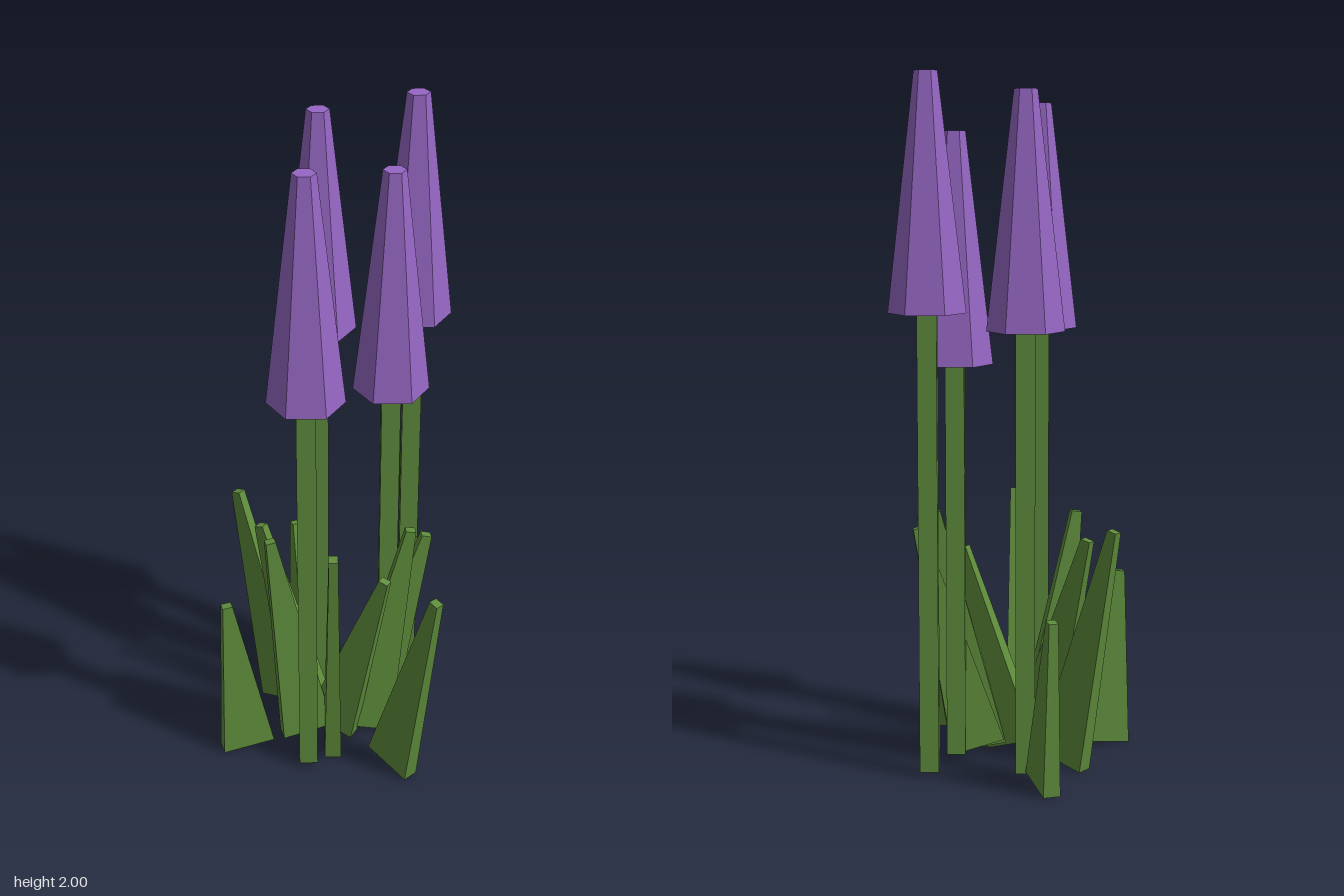
import * as THREE from 'three';

const purple = new THREE.MeshStandardMaterial({ name: 'petal purple', color: 0x9667c4 });
const green = new THREE.MeshStandardMaterial({ name: 'leaf green', color: 0x5f8d3c });

const BASE_W = 0.16, BASE_T = 0.05, TIP_W = 0.03, TIP_T = 0.027;

// Blade: a box standing on y = 0 that narrows to a small square tip
function bladeGeometry(length) {
  const geo = new THREE.BoxGeometry(1, length, 1).translate(0, length / 2, 0);
  const p = geo.attributes.position;
  for (let i = 0; i < p.count; i++) {
    const atTip = p.getY(i) > length / 2;
    p.setX(i, p.getX(i) * (atTip ? TIP_W : BASE_W));
    p.setZ(i, p.getZ(i) * (atTip ? TIP_T : BASE_T));
  }
  geo.computeVertexNormals();
  return geo;
}

// Leaf leaning from its base centre (bx, bz) to its tip (tx, ty, tz)
function makeLeaf(bx, bz, tx, ty, tz) {
  const dx = tx - bx, dz = tz - bz, reach = Math.hypot(dx, dz);
  const tilt = Math.atan2(reach, ty);
  const by = Math.sin(tilt) * BASE_W / 2;
  const leaf = new THREE.Mesh(bladeGeometry(Math.hypot(reach, ty - by)), green);
  leaf.name = 'leaf';
  leaf.position.set(bx, by, bz);
  leaf.rotation.set(0, Math.atan2(-dz, dx), -tilt, 'YXZ');
  return leaf;
}

// Flower: square stem below a six-sided tapered head
function makeFlower(x, z, top) {
  const flower = new THREE.Group();
  flower.name = 'flower';
  const headHeight = 0.665, foot = 0.015, headBase = top - headHeight;

  const stemHeight = headBase + 0.05 - foot;
  const stem = new THREE.Mesh(new THREE.BoxGeometry(0.055, stemHeight, 0.055), green);
  stem.name = 'stem';
  stem.position.y = foot + stemHeight / 2;

  const headGeo = new THREE.CylinderGeometry(0.033, 0.11, headHeight, 6).rotateY(Math.PI / 6).toNonIndexed();
  headGeo.computeVertexNormals();
  const head = new THREE.Mesh(headGeo, purple);
  head.name = 'flowerHead';
  head.position.y = headBase + headHeight / 2;

  flower.add(stem, head);
  flower.position.set(x, 0, z);
  return flower;
}

export function createModel() {
  const model = new THREE.Group();
  model.name = 'flowerClump';

  // x, z, top height
  const flowers = [
    [-0.075, 0.22, 1.925],
    [-0.035, -0.185, 1.95],
    [0.24, -0.175, 2.0],
    [0.17, -0.015, 1.84],
  ];
  for (const f of flowers) model.add(makeFlower(...f));

  // base x, base z, tip x, tip y, tip z
  const leaves = [
    [-0.085, -0.288, -0.11, 0.5, -0.362],
    [-0.145, -0.09, -0.288, 0.72, -0.2],
    [-0.06, 0.02, -0.218, 0.67, -0.083],
    [0.0, 0.055, 0.16, 0.605, 0.138],
    [-0.08, 0.068, -0.185, 0.725, 0.095],
    [0.0, 0.125, 0.0, 0.765, 0.255],
    [0.11, 0.035, 0.287, 0.688, 0.007],
    [0.105, 0.055, 0.235, 0.73, 0.047],
    [0.18, 0.24, 0.292, 0.682, 0.36],
    [-0.265, 0.132, -0.315, 0.533, 0.146],
  ];
  for (const l of leaves) model.add(makeLeaf(...l));

  return model;
}
